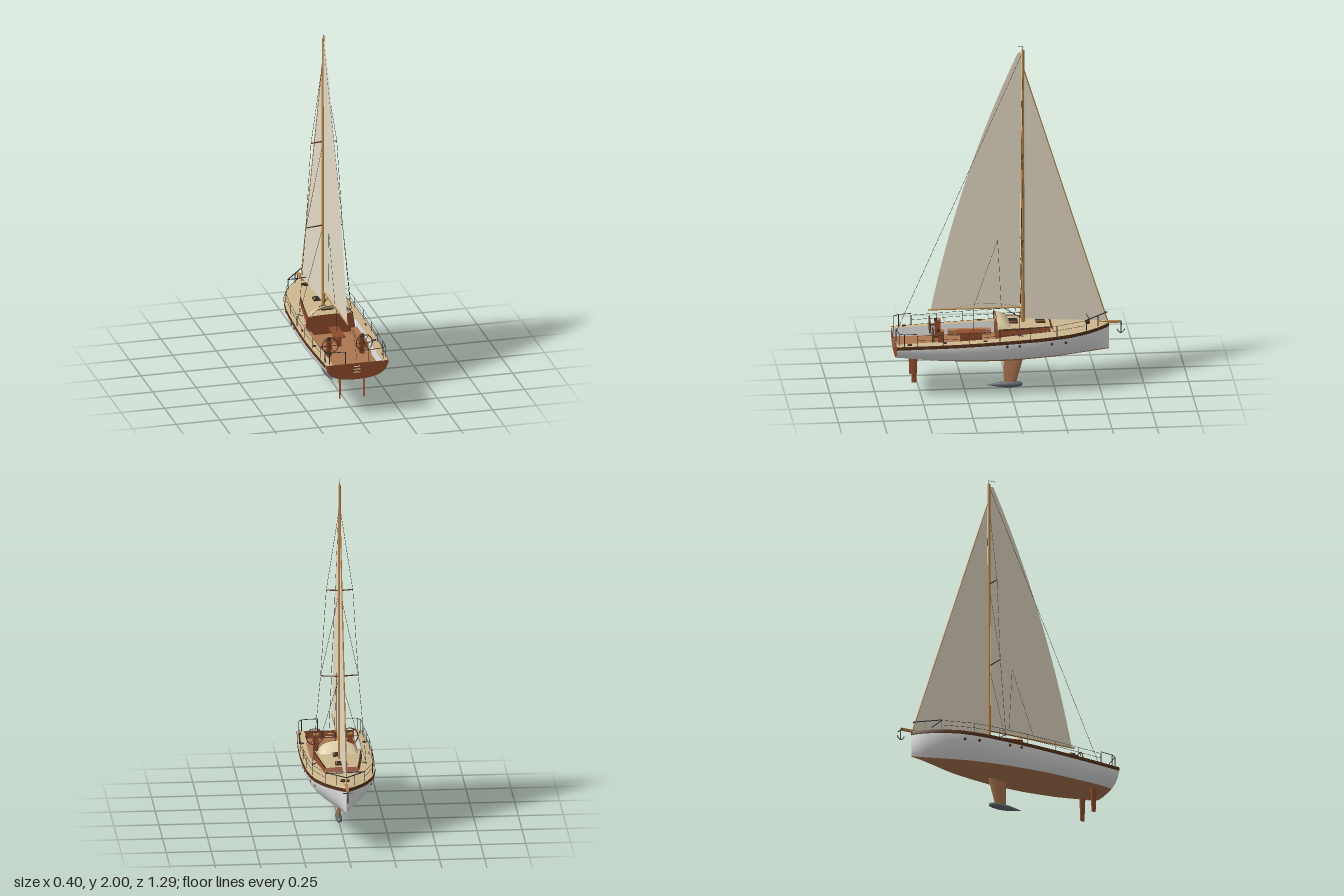
import * as THREE from 'three';

const mat = (name, color, side = THREE.FrontSide) => {
  const m = new THREE.MeshStandardMaterial({ color, side });
  m.name = name;
  return m;
};
const D = THREE.DoubleSide;
const V = (x, y, z) => new THREE.Vector3(x, y, z);

// piecewise linear lookup in a small table of [z, value]
const lookup = (table) => (z) => {
  let i = 0;
  while (i < table.length - 2 && z > table[i + 1][0]) i++;
  const [a, b] = [table[i], table[i + 1]];
  return THREE.MathUtils.lerp(a[1], b[1], THREE.MathUtils.clamp((z - a[0]) / (b[0] - a[0]), 0, 1));
};
const STERN = 0.642, BOW = -0.555;
const beam = lookup([[-0.555, 0.002], [-0.52, 0.042], [-0.47, 0.083], [-0.42, 0.117], [-0.33, 0.157], [-0.25, 0.176],
  [-0.15, 0.19], [0, 0.197], [0.15, 0.2], [0.3, 0.198], [0.45, 0.191], [STERN, 0.178]]);
const sheer = lookup([[BOW, 0.362], [-0.3, 0.352], [0, 0.34], [0.3, 0.328], [STERN, 0.318]]);
const keelLine = lookup([[BOW, 0.212], [-0.45, 0.2], [-0.25, 0.184], [0, 0.177], [0.2, 0.18], [0.4, 0.193], [STERN, 0.222]]);
const water = lookup([[BOW, 0.216], [-0.3, 0.213], [0, 0.212], [0.4, 0.217], [STERN, 0.228]]);
const fullness = lookup([[BOW, 1.5], [-0.35, 1.8], [0, 2.3], [STERN, 2.5]]);
const hullX = (z, y) => {
  const u = THREE.MathUtils.clamp((sheer(z) - y) / (sheer(z) - keelLine(z)), 0, 1), n = fullness(z);
  return beam(z) * Math.pow(1 - Math.pow(u, n), 1 / n);
};
const steps = (a, b, n) => Array.from({ length: n + 1 }, (_, i) => a + (b - a) * i / n);

export function createModel() {
  const boat = new THREE.Group();
  boat.name = 'sailingYacht';
  const white = mat('hullWhite', 0xf2f2f2, D), teak = mat('teakBrown', 0xad7650, D),
    wood = mat('redWood', 0x8f4b2c, D), deckM = mat('deckTan', 0xcbb68d, D), spar = mat('sparWood', 0xb98549),
    sail = mat('sailCloth', 0xe6ddc7, D), dark = mat('darkMetal', 0x2b2a2c, D), grey = mat('bulbGrey', 0x60666b),
    trim = mat('darkTrim', 0x56321d, D), cream = mat('canvasCream', 0xdccba4, D);

  const add = (name, geo, m, x = 0, y = 0, z = 0) => {
    const o = new THREE.Mesh(geo, m);
    o.name = name;
    o.position.set(x, y, z);
    boat.add(o);
    return o;
  };
  const box = (name, m, w, h, d, x, y, z) => add(name, new THREE.BoxGeometry(w, h, d), m, x, y, z);
  // surface through rows of points
  const loft = (name, rows, m) => {
    const n = rows[0].length, idx = [];
    for (let i = 0; i < rows.length - 1; i++) for (let j = 0; j < n - 1; j++) {
      const a = i * n + j;
      idx.push(a, a + 1, a + n, a + 1, a + n + 1, a + n);
    }
    const g = new THREE.BufferGeometry().setFromPoints(rows.flat());
    g.setIndex(idx);
    g.computeVertexNormals();
    return add(name, g, m);
  };
  // round bar or wire along straight legs
  const bar = (name, pts, r, m, r2 = r) => {
    for (let i = 0; i < pts.length - 1; i++) {
      const d = pts[i + 1].clone().sub(pts[i]);
      const o = add(name, new THREE.CylinderGeometry(r2, r, d.length(), r > 0.004 ? 14 : 5), m);
      o.position.copy(pts[i]).addScaledVector(d, 0.5);
      o.quaternion.setFromUnitVectors(V(0, 1, 0), d.normalize());
    }
  };
  const both = (fn) => [1, -1].forEach(fn);

  // hull: topsides, bottom, rubbing strake and transom
  const zs = steps(BOW, STERN, 48);
  both((s) => {
    const at = (z, y) => V(s * hullX(z, y), y, z);
    const order = (rows) => (s > 0 ? rows : rows.map((r) => r.reverse()));
    loft('topsides', order(zs.map((z) => steps(sheer(z), water(z), 8).map((y) => at(z, y)))), white);
    loft('hullBottom', order(zs.map((z) => steps(0, 1, 10).map((t) =>
      at(z, THREE.MathUtils.lerp(water(z), keelLine(z), 1 - (1 - t) ** 2.2))))), teak);
    loft('rubbingStrake', order(zs.map((z) => [[0.001, 0], [0.001, 0.002], [-0.018, 0.002], [-0.019, -0.001]].map(([dy, out]) =>
      V(s * Math.max(0, beam(z) + out), sheer(z) + dy, z)))), trim);
  });
  const tr = new THREE.Shape();
  const side = steps(0, 1, 16).map((t) => THREE.MathUtils.lerp(sheer(STERN), keelLine(STERN), 1 - (1 - t) ** 2))
    .map((y) => [hullX(STERN, y), y]);
  tr.moveTo(...side[0]);
  side.slice(1).forEach((p) => tr.lineTo(...p));
  side.slice(0, -1).reverse().forEach(([x, y]) => tr.lineTo(-x, y));
  add('transom', new THREE.ShapeGeometry(tr), wood, 0, 0, STERN);
  for (const y of [0.265, 0.282, 0.299]) box('transomStep', cream, 0.04, 0.004, 0.006, 0, y, STERN + 0.002);
  both((s) => bar('transomLadderSide', [V(s * 0.02, 0.255, STERN + 0.002), V(s * 0.02, 0.31, STERN + 0.002)], 0.0015, dark));

  // deck, with the cockpit well let into it
  const CF = 0.07, SOLE = 0.27;
  const well = (z) => (z < 0.43 ? 0.15 : 0.14);
  const deckY = (x, z) => sheer(z) + 0.01 * (1 - (x / beam(z)) ** 2);
  const strip = (z, x0, x1) => steps(x0, x1, 6).map((x) => V(x, deckY(x, z), z));
  loft('foredeck', steps(BOW, CF, 28).map((z) => strip(z, -beam(z), beam(z))), deckM);
  const aft = [...steps(CF, 0.43, 10), 0.431, ...steps(0.45, STERN, 6)];
  both((s) => {
    loft('sideDeck', aft.map((z) => strip(z, s * well(z), s * beam(z))), deckM);
    loft('cockpitWall', aft.map((z) => [V(s * well(z), deckY(well(z), z), z), V(s * well(z), SOLE, z)]), white);
    box('cockpitBench', teak, 0.035, 0.035, 0.24, s * 0.132, SOLE + 0.0175, 0.21);
  });
  box('cockpitSole', teak, 0.3, 0.006, 0.36, 0, SOLE, 0.25);
  box('aftCockpitSole', teak, 0.28, 0.006, 0.21, 0, SOLE, 0.535);

  // cockpit table with rounded corners
  const top = new THREE.Shape();
  top.absarc(0.019, 0.0725, 0.01, 0, Math.PI / 2);
  top.absarc(-0.019, 0.0725, 0.01, Math.PI / 2, Math.PI);
  top.absarc(-0.019, -0.0725, 0.01, Math.PI, Math.PI * 1.5);
  top.absarc(0.019, -0.0725, 0.01, Math.PI * 1.5, Math.PI * 2);
  add('cockpitTable', new THREE.ExtrudeGeometry(top, { depth: 0.008, bevelEnabled: false }), wood, 0, 0.331, 0.213)
    .rotation.x = -Math.PI / 2;
  box('tableBase', wood, 0.02, 0.062, 0.12, 0, 0.301, 0.213);

  // coachroof
  const cabW = lookup([[-0.245, 0.093], [-0.1, 0.115], [CF, 0.137]]);
  const roofY = lookup([[-0.222, 0.379], [CF, 0.384]]);
  const cz = steps(-0.222, CF, 10);
  const roofAt = (x, z) => roofY(z) + 0.005 * (1 - (x / cabW(z)) ** 2);
  const roofRow = (z) => steps(-1, 1, 8).map((t) => V(t * (cabW(z) - 0.007), roofAt(t * cabW(z), z), z));
  loft('coachroofTop', cz.map(roofRow), deckM);
  both((s) => {
    const rim = cz.map((z) => V(s * (cabW(z) - 0.007), roofY(z), z));
    loft('coachroofSide', cz.map((z, i) => [rim[i], V(s * cabW(z), sheer(z), z)]), wood);
    bar('coachroofRail', rim, 0.0038, trim);
  });
  loft('coachroofFront', [roofRow(-0.222), steps(-1, 1, 8).map((t) => V(t * 0.095, sheer(-0.245), -0.245))], wood);
  loft('companionwayBulkhead', [roofRow(CF), steps(-1, 1, 8).map((t) => V(t * 0.15, SOLE, CF))], wood);
  for (const z of [-0.172, -0.02]) {
    box('hatchFrame', trim, 0.066, 0.012, 0.052, 0, roofAt(0, z) + 0.003, z);
    box('hatchGlass', dark, 0.048, 0.006, 0.044, 0, roofAt(0, z) + 0.008, z);
    both((s) => box('hatchRunner', spar, 0.005, 0.006, 0.05, s * 0.027, roofAt(0, z) + 0.008, z));
  }

  // spray hood
  const hood = [[0, 0.39, 0.108], [0.012, 0.407, 0.109], [0.035, 0.427, 0.11], [0.055, 0.438, 0.11], [0.077, 0.441, 0.11]];
  loft('sprayHood', hood.map(([z, h, w]) => steps(0, Math.PI, 18).map((a) =>
    V(w * Math.cos(a), 0.37 + (h - 0.37) * Math.sin(a) ** 0.8, z))), cream);
  bar('sprayHoodHoop', steps(0, Math.PI, 18).map((a) => V(0.11 * Math.cos(a), 0.37 + 0.071 * Math.sin(a) ** 0.8, 0.077)), 0.0015, trim);

  // twin helms
  both((s) => {
    box('helmPedestal', wood, 0.026, 0.105, 0.03, s * 0.095, 0.325, 0.39);
    box('helmConsole', spar, 0.028, 0.008, 0.02, s * 0.095, 0.381, 0.382);
    box('helmCompass', dark, 0.018, 0.014, 0.016, s * 0.095, 0.38, 0.402);
    add('helmWheel', new THREE.TorusGeometry(0.046, 0.003, 6, 28), trim, s * 0.098, 0.35, 0.434);
    for (let k = 0; k < 3; k++) {
      const c = Math.cos(k * Math.PI / 3) * 0.053, q = Math.sin(k * Math.PI / 3) * 0.053;
      bar('wheelSpoke', [V(s * 0.098 - c, 0.35 - q, 0.434), V(s * 0.098 + c, 0.35 + q, 0.434)], 0.002, trim);
    }
    bar('wheelHub', [V(s * 0.098, 0.35, 0.4), V(s * 0.098, 0.35, 0.44)], 0.006, trim);
  });

  // keel fin, bulb and twin rudders
  const foil = (name, x, upper, low, half, m) => {
    const row = ([y, f, a]) => steps(0, Math.PI * 2, 16).map((t) =>
      V(x + half * Math.sin(t) * (1 - 0.35 * Math.cos(t)), y, (f + a) / 2 + (a - f) / 2 * Math.cos(t)));
    const end = row(low);
    loft(name, [row(upper), end, end.map(() => V(x, low[0], (low[1] + low[2]) / 2))], m);
  };
  foil('keelFin', 0, [0.19, -0.083, 0.032], [0.025, -0.037, 0.03], 0.009, teak);
  const bulb = add('keelBulb', new THREE.LatheGeometry([[0, -0.075], [0.01, -0.07], [0.016, -0.05], [0.019, -0.01],
    [0.016, 0.04], [0.008, 0.09], [0, 0.13]].map(([r, y]) => new THREE.Vector2(r, y)), 20), grey, 0, 0.02, 0);
  bulb.rotation.x = Math.PI / 2;
  both((s) => foil('rudder', s * 0.07, [0.225, 0.518, 0.556], [0.073, 0.524, 0.55], 0.004, wood));

  // mast, boom and sails
  const MZ = -0.076;
  bar('mast', [V(0, 0.35, MZ), V(0, 1.98, MZ)], 0.011, spar, 0.008);
  bar('boom', [V(0, 0.47, MZ), V(0, 0.472, 0.452)], 0.0045, spar);
  bar('vang', [V(0, 0.4, MZ), V(0, 0.468, 0.03)], 0.002, dark);
  bar('mainsheet', [V(0, 0.47, 0.2), V(0, 0.34, 0.2)], 0.001, dark);
  const main = new THREE.Shape();
  main.moveTo(-0.063, 0.474);
  main.lineTo(0.437, 0.474);
  main.quadraticCurveTo(0.277, 1.26, -0.048, 1.965);
  main.lineTo(-0.066, 1.965);
  const jib = new THREE.Shape([[-0.088, 1.85], [-0.547, 0.376], [-0.085, 0.402]].map((p) => new THREE.Vector2(...p)));
  for (const [name, shape] of [['mainsail', main], ['jib', jib]])
    add(name, new THREE.ShapeGeometry(shape, 20), sail).rotation.y = -Math.PI / 2;
  bar('forestay', [V(0, 0.37, -0.55), V(0, 1.86, -0.083)], 0.0035, spar);
  bar('backstay', [V(0, 1.97, MZ), V(0, 0.335, 0.635)], 0.001, dark);
  bar('footSeam', steps(0, 1, 10).map((t) => V(0, 0.474 + 0.026 * Math.sin(t * Math.PI), -0.06 + 0.38 * t)), 0.001, spar);

  // spreaders, shrouds and lazy jacks
  both((s) => {
    const low = V(s * 0.105, 0.865, -0.057), high = V(s * 0.074, 1.365, -0.062), foot = V(s * 0.15, 0.345, -0.042);
    for (const p of [low, high]) bar('spreader', [V(0, p.y, MZ), p], 0.004, trim, 0.003);
    bar('capShroud', [V(0, 1.86, MZ), high, low, foot], 0.001, dark);
    bar('innerShroud', [V(0, 1.365, MZ), low], 0.001, dark);
    bar('lowerShroud', [V(0, 0.865, MZ), foot], 0.001, dark);
    bar('chainplate', [V(s * 0.128, 0.35, -0.037), V(s * 0.15, 0.352, -0.065)], 0.003, dark);
    bar('lazyJack', [V(s * 0.006, 0.48, 0.2), V(s * 0.006, 0.87, 0.065), V(s * 0.006, 0.48, 0.045)], 0.0008, dark);
  });
  bar('windVane', [V(0, 1.999, -0.08), V(0, 1.999, -0.035)], 0.001, dark);
  bar('vaneStem', [V(0, 1.97, MZ), V(0, 1.999, MZ)], 0.0015, dark);

  // guard rails, pulpit and deck fittings
  both((s) => {
    const rail = (z, h) => V(s * (beam(z) - 0.008), sheer(z) + h, z);
    const posts = [-0.42, -0.25, -0.1, 0.07, 0.24, 0.385, 0.53];
    for (const h of [0.06, 0.032]) bar('lifeline', posts.map((z) => rail(z, h)), 0.001, dark);
    for (const z of posts) bar('stanchion', [rail(z, 0), rail(z, 0.061)], 0.0018, dark);
    const push = [rail(0.53, 0.07), rail(0.6, 0.07), V(s * 0.155, 0.388, 0.628), V(s * 0.065, 0.388, 0.637)];
    bar('pushpit', push, 0.002, dark);
    for (const p of push.slice(1)) bar('pushpitPost', [p, V(p.x, 0.318, p.z)], 0.002, dark);
    bar('pulpit', [rail(-0.42, 0.062), V(0, 0.425, -0.545)], 0.003, dark);
    bar('pulpitPost', [V(s * 0.05, sheer(-0.49), -0.49), V(s * 0.05, 0.42, -0.49)], 0.002, dark);
    add('deckRing', new THREE.TorusGeometry(0.009, 0.0025, 6, 18), dark, s * 0.173, 0.334, 0.373).rotation.x = Math.PI / 2;
    for (const z of [0.15, 0.57]) box('cleat', trim, 0.005, 0.008, 0.024, s * (beam(z) - 0.018), sheer(z) + 0.006, z);
    for (const z of [0.03, -0.04, -0.22, -0.3])
      add('porthole', new THREE.CylinderGeometry(0.008, 0.008, 0.006, 14), trim, s * hullX(z, 0.308), 0.308, z).rotation.z = Math.PI / 2;
  });
  bar('pulpitCrossRail', [V(-0.112, 0.417, -0.42), V(0.105, 0.417, -0.438)], 0.0025, dark);
  box('windlass', trim, 0.03, 0.018, 0.024, 0, 0.37, -0.436);
  both((s) => bar('windlassDrum', [V(s * 0.015, 0.373, -0.436), V(s * 0.025, 0.373, -0.436)], 0.007, dark));

  // bowsprit and anchor
  box('bowsprit', spar, 0.014, 0.012, 0.12, 0, 0.368, -0.56);
  bar('anchorShank', [V(0, 0.368, -0.59), V(0, 0.362, -0.622), V(0, 0.302, -0.622)], 0.003, dark);
  bar('anchorStock', [V(-0.028, 0.36, -0.625), V(0.028, 0.36, -0.625)], 0.0025, dark);
  bar('anchorFluke', steps(-1, 1, 6).map((t) => V(0, 0.302 + 0.022 * t * t, -0.622 + 0.022 * t)), 0.0025, dark);
  return boat;
}
